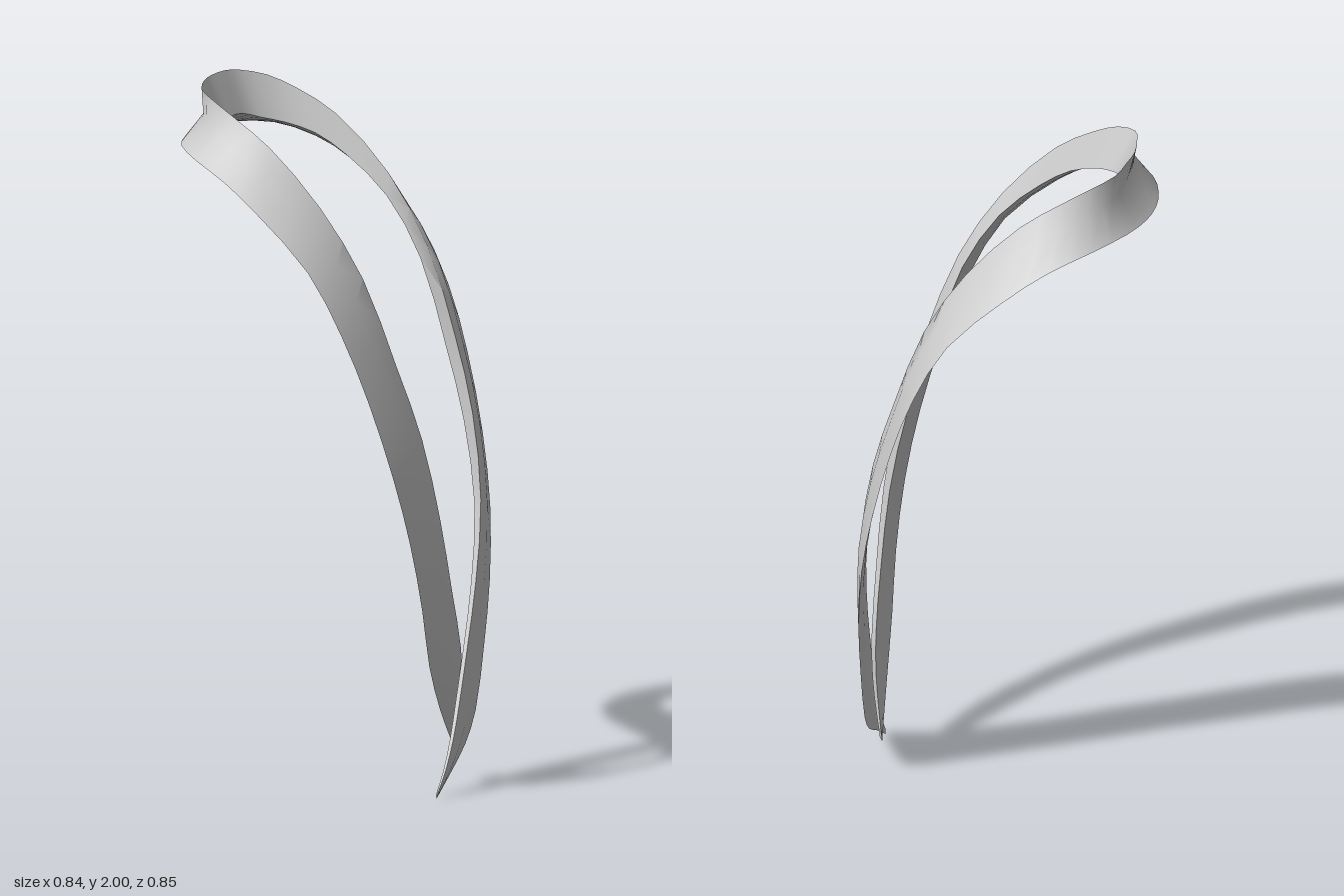
import * as THREE from 'three';
import { toCreasedNormals } from 'three/addons/utils/BufferGeometryUtils.js';

const V = (a) => new THREE.Vector3(...a);

// Half of the collar from the nape down to the chest, z positive:
// [outer edge, neck edge, inner fold]
const half = [
  [[-0.42, 1.83, 0], [-0.36, 2.0, 0], [-0.3, 1.885, 0]],
  [[-0.41, 1.83, 0.09], [-0.35, 2.0, 0.08], [-0.295, 1.88, 0.08]],
  [[-0.375, 1.83, 0.19], [-0.33, 1.99, 0.15], [-0.265, 1.86, 0.14]],
  [[-0.29, 1.815, 0.3], [-0.27, 1.97, 0.207], [-0.21, 1.84, 0.19]],
  [[-0.18, 1.77, 0.36], [-0.19, 1.93, 0.24], [-0.13, 1.81, 0.22]],
  [[-0.06, 1.69, 0.402], [-0.08, 1.86, 0.262], [-0.04, 1.75, 0.235]],
  [[0.1, 1.54, 0.423], [0.075, 1.7, 0.268], [0.08, 1.64, 0.24]],
  [[0.2, 1.36, 0.415], [0.2, 1.5, 0.252], [0.185, 1.47, 0.233]],
  [[0.27, 1.17, 0.387], [0.293, 1.25, 0.23], [0.268, 1.23, 0.216]],
  [[0.33, 0.95, 0.35], [0.358, 1.04, 0.198], [0.335, 1.02, 0.188]],
  [[0.365, 0.75, 0.305], [0.396, 0.8, 0.152], [0.378, 0.79, 0.148]],
  [[0.38, 0.55, 0.25], [0.404, 0.58, 0.08], [0.39, 0.58, 0.08]],
  [[0.38, 0.38, 0.195], [0.402, 0.4, 0.005], [0.39, 0.4, 0.005]],
];
// Tapered ends: the left one tucks under, the right one laps over
const underEnd = [
  [[0.375, 0.24, 0.1], [0.395, 0.28, -0.02], [0.384, 0.28, -0.02]],
  [[0.368, 0.16, 0.02], [0.38, 0.18, -0.04], [0.372, 0.18, -0.04]],
  [[0.36, 0.095, -0.055], [0.367, 0.125, -0.06], [0.362, 0.125, -0.06]],
];
const overEnd = [
  [[0.398, 0.2, -0.12], [0.418, 0.25, 0.06], [0.406, 0.25, 0.06]],
  [[0.402, 0.12, -0.03], [0.418, 0.16, 0.105], [0.408, 0.16, 0.105]],
  [[0.404, 0.06, 0.085], [0.412, 0.075, 0.15], [0.405, 0.075, 0.15]],
  [[0.398, 0, 0.185], [0.402, 0.012, 0.19], [0.398, 0.012, 0.19]],
];

function collarStations() {
  const make = ([o, t, n], i) => ({
    outer: V(o), top: V(t), inner: V(n), fold: Math.max(0, 1 - i / 7),
  });
  const left = [...half, ...underEnd].map(make);
  // Mirrored side, eased outward at the chest so it lies over the other
  const mirrored = half.map((points, i) => {
    const ease = i > 9 ? 0.005 * (i - 9) : 0;
    return points.map(([x, y, z]) => [x + ease, y, -z]);
  });
  const right = [...mirrored, ...overEnd].map(make);
  return [...right.reverse(), ...left.slice(1)];
}

// Five-cornered section: neck edge, outside, outer edge, underside, inner fold
function sections(stations) {
  const sum = (s) => s.outer.clone().add(s.top);
  return stations.map((s, i) => {
    const next = stations[Math.min(i + 1, stations.length - 1)];
    const prev = stations[Math.max(i - 1, 0)];
    const along = sum(next).sub(sum(prev));
    const out = s.outer.clone().sub(s.top).cross(along).normalize();
    const thin = Math.min(1, s.outer.distanceTo(s.top) / 0.1);
    const waist = s.top.clone().lerp(s.outer, 0.4)
      .addScaledVector(out, (0.008 - 0.053 * s.fold) * thin);
    const under = s.inner.clone().lerp(s.outer, 0.5).addScaledVector(out, -0.003 * thin);
    return [s.top, waist, s.outer, under, s.inner];
  });
}

// Smooth curves through each corner, sampled twice per section
function refine(rings) {
  const steps = (rings.length - 1) * 2;
  const rails = rings[0].map((_, j) => new THREE.CatmullRomCurve3(rings.map((r) => r[j])));
  return Array.from({ length: steps + 1 }, (_, i) => rails.map((c) => c.getPoint(i / steps)));
}

function skin(rings) {
  const pos = [];
  const tri = (...pts) => pts.forEach((p) => pos.push(p.x, p.y, p.z));
  const n = rings[0].length;
  for (let i = 0; i < rings.length - 1; i++) {
    for (let j = 0; j < n; j++) {
      const k = (j + 1) % n;
      const [a, b, c, d] = [rings[i][j], rings[i][k], rings[i + 1][k], rings[i + 1][j]];
      tri(a, b, d);
      tri(b, c, d);
    }
  }
  // End caps
  const first = rings[0];
  const last = rings[rings.length - 1];
  for (let j = 1; j < n - 1; j++) {
    tri(first[0], first[j + 1], first[j]);
    tri(last[0], last[j], last[j + 1]);
  }
  const geometry = new THREE.BufferGeometry();
  geometry.setAttribute('position', new THREE.Float32BufferAttribute(pos, 3));
  return toCreasedNormals(geometry, 1.2);
}

export function createModel() {
  const group = new THREE.Group();
  group.name = 'wrapCollar';
  const material = new THREE.MeshStandardMaterial({ color: 0xcccccc, side: THREE.DoubleSide });
  const collar = new THREE.Mesh(skin(refine(sections(collarStations()))), material);
  collar.name = 'collarBand';
  group.add(collar);
  return group;
}
